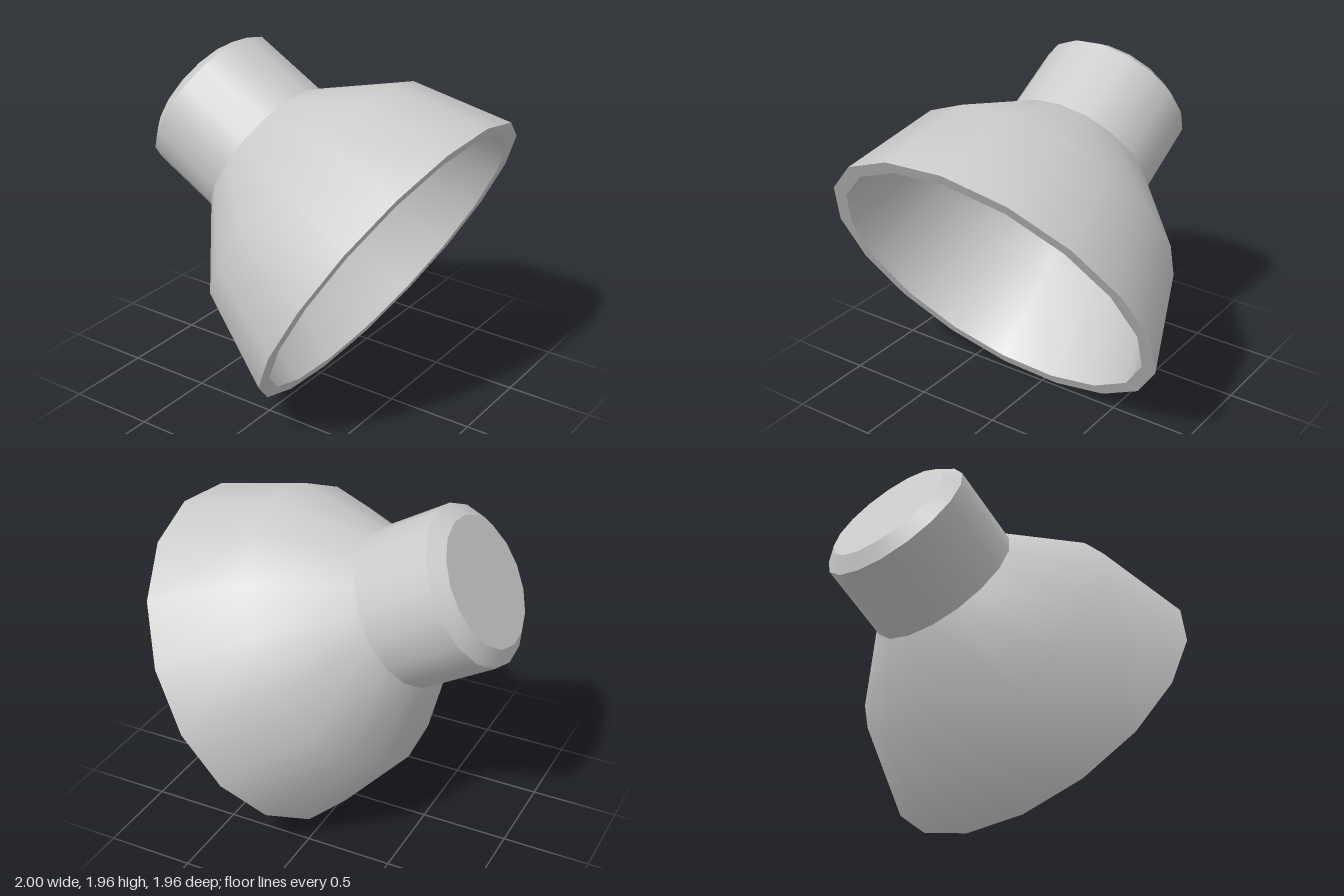
import * as THREE from 'three';

const SIDES = 17;

export function createModel() {
  const model = new THREE.Group();
  const lamp = new THREE.Group();
  lamp.name = 'tiltedLampHead';
  const material = new THREE.MeshStandardMaterial({ color: 0xcccccc });

  // Revolves a [radius, height] profile about the lamp axis; smooth along each profile
  const revolve = (name, profile) => {
    const points = profile.map(([r, h]) => new THREE.Vector2(r, h));
    const mesh = new THREE.Mesh(new THREE.LatheGeometry(points, SIDES, Math.PI / 2), material);
    mesh.name = name;
    lamp.add(mesh);
  };

  // Shade: outer bell, flat rim, inner bell
  revolve('shadeOuter', [[1.0085, 0], [0.83, 0.56], [0.45, 0.953]]);
  revolve('shadeRim', [[0.928, 0], [1.0085, 0]]);
  revolve('shadeInner', [[0.402, 0.95], [0.768, 0.555], [0.928, 0]]);
  revolve('innerDisc', [[0, 0.95], [0.402, 0.95]]);

  // Neck: socket cylinder, bevel and flat end
  revolve('neck', [[0.45, 0.953], [0.45, 1.412]]);
  revolve('neckBevel', [[0.45, 1.412], [0.365, 1.478]]);
  revolve('neckEnd', [[0.365, 1.478], [0, 1.478]]);

  // Open side faces forward and down
  lamp.rotation.x = -Math.PI / 3;
  lamp.position.set(-0.0085, 0.87, 0.478);
  model.add(lamp);
  return model;
}
